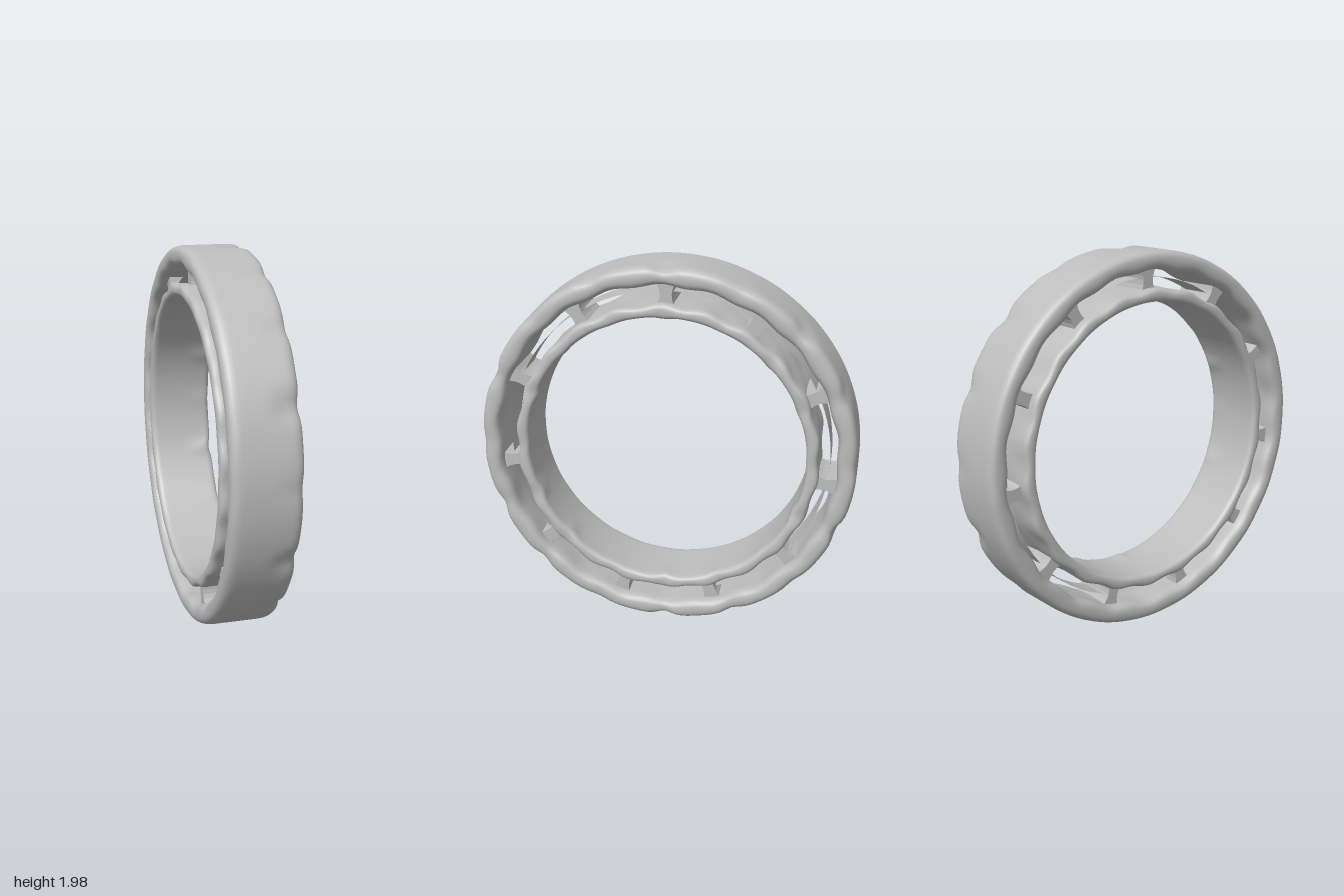
import * as THREE from 'three';
import { mergeVertices } from 'three/addons/utils/BufferGeometryUtils.js';

const HALF = 0.174;   // half the width of the rings
const SPOKES = 11;
const DENTS = 16;

// Rounded closed cross-section (radius, height), swept round and laid along x
function ringGeometry(rIn, rOut, round) {
  const s = new THREE.Shape();
  const [a, b, h, c] = [rIn, rOut, HALF, round];
  s.moveTo(b, -h + c * 1.3);
  s.lineTo(b, 0);
  s.lineTo(b, h - c * 1.3);
  s.quadraticCurveTo(b, h, b - c, h);
  s.lineTo(a + c, h);
  s.quadraticCurveTo(a, h, a, h - c * 1.3);
  s.lineTo(a, 0);
  s.lineTo(a, -h + c * 1.3);
  s.quadraticCurveTo(a, -h, a + c, -h);
  s.lineTo(b - c, -h);
  s.quadraticCurveTo(b, -h, b, -h + c * 1.3);
  const pts = s.getPoints(6);
  // extra rows along the flat walls so dents fade smoothly
  const rows = [];
  pts.forEach((p, i) => {
    rows.push(p);
    const q = pts[i + 1];
    if (q && Math.abs(q.y - p.y) > 0.08) {
      for (let k = 1; k < 4; k++) rows.push(p.clone().lerp(q, k / 4));
    }
  });
  let g = new THREE.LatheGeometry(rows, 192);
  g.deleteAttribute('uv');
  g.deleteAttribute('normal');
  g = mergeVertices(g, 1e-4);
  g.rotateZ(-Math.PI / 2);
  return g;
}

// Press soft notches into the +x rim and ripple the facing walls
function dent(g, rIn, rOut, outward) {
  const p = g.attributes.position;
  for (let i = 0; i < p.count; i++) {
    const x = p.getX(i), y = p.getY(i), z = p.getZ(i);
    const r = Math.hypot(y, z), t = Math.atan2(z, y);
    const step = (Math.PI * 2) / DENTS;
    const n = Math.round(t / step);
    const d = (t - n * step) / 0.06;
    const size = 0.65 + 0.35 * Math.sin(n * 2.4 + 1);
    const notch = Math.exp(-d * d) * size * THREE.MathUtils.smoothstep(x, 0, HALF);
    const outer = (r - rIn) / (rOut - rIn);
    const ripple = 0.008 * Math.sin(t * SPOKES * 2 + 1) * Math.abs(x) / HALF;
    const gap = outward ? outer : 1 - outer;   // 1 on the wall facing the gap
    const main = outward ? -0.012 * (1 - outer) : -0.026 * outer;
    const nr = r + notch * main + ripple * gap;
    p.setXYZ(i, x - notch * 0.012, y * nr / r, z * nr / r);
  }
  g.computeVertexNormals();
  return g;
}

export function createModel() {
  const grey = new THREE.MeshStandardMaterial({ color: 0xbdbdbd });
  grey.name = 'plain grey';
  const greySheet = new THREE.MeshStandardMaterial({ color: 0xbdbdbd, side: THREE.DoubleSide });
  greySheet.name = 'plain grey sheet';

  const model = new THREE.Group();
  model.name = 'ringBearing';
  const add = (name, geometry, material = grey) => {
    const m = new THREE.Mesh(geometry, material);
    m.name = name;
    model.add(m);
    return m;
  };

  // Outer and inner races
  add('outerRing', dent(ringGeometry(0.888, 0.989, 0.045), 0.888, 0.989, false));
  add('innerRing', dent(ringGeometry(0.732, 0.795, 0.028), 0.732, 0.795, true));

  // Thin cage sheet in the gap
  const sheet = new THREE.CylinderGeometry(0.848, 0.848, 0.16, 96, 1, true);
  sheet.rotateZ(-Math.PI / 2);
  add('cageSheet', sheet, greySheet);

  // Waisted spokes joining the two races
  const w = new THREE.Shape();
  w.moveTo(-0.05, 0.77);
  w.lineTo(0.05, 0.77);
  w.quadraticCurveTo(0.008, 0.84, 0.055, 0.91);
  w.lineTo(-0.055, 0.91);
  w.quadraticCurveTo(-0.008, 0.84, -0.05, 0.77);
  const spoke = new THREE.ExtrudeGeometry(w, { depth: 0.24, bevelEnabled: false, curveSegments: 6 });
  spoke.translate(0, 0, -0.12);
  spoke.rotateY(Math.PI / 2);
  for (let i = 0; i < SPOKES; i++) {
    add('spoke' + (i + 1), spoke).rotation.x = (i / SPOKES) * Math.PI * 2;
  }

  // Slight turn about the vertical, standing on the ground
  model.rotation.y = -0.085;
  model.position.y = 0.991;
  const root = new THREE.Group();
  root.name = 'ring';
  root.add(model);
  return root;
}
